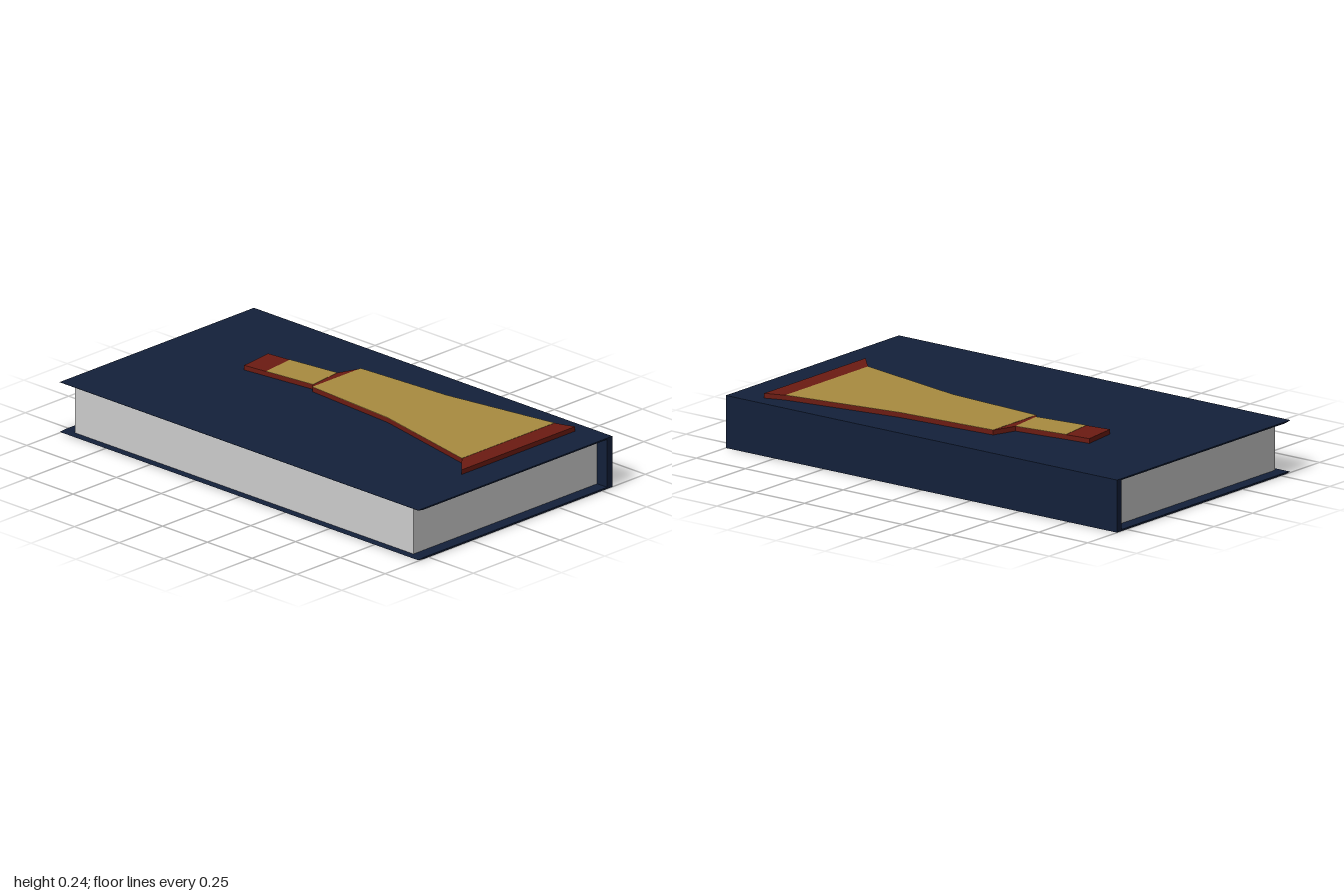
import * as THREE from 'three';

const NAVY = 0x13203a, RED = 0x6c1b12, GOLD = 0xa88b40;

function part(name, geometry, color) {
  const material = new THREE.MeshStandardMaterial({ color, flatShading: true });
  const mesh = new THREE.Mesh(geometry, material);
  mesh.name = name;
  return mesh;
}

function shapeOf(points) {
  return new THREE.Shape(points.map(([a, b]) => new THREE.Vector2(a, b)));
}

// Flat plate from an [x, z] outline, rising from bottom to top
function plate(outline, bottom, top) {
  const shape = shapeOf(outline.map(([x, z]) => [x, -z]));
  return new THREE.ExtrudeGeometry(shape, { depth: top - bottom, bevelEnabled: false })
    .rotateX(-Math.PI / 2)
    .translate(0, bottom, 0);
}

export function createModel() {
  const book = new THREE.Group();
  book.name = 'book';

  // Cover: C-shaped [z, y] profile, spine at the back, thin edges at the front
  const profile = [
    [-0.56, 0], [0.53, 0], [0.56, 0.004], [0.53, 0.007], [-0.53, 0.007],
    [-0.53, 0.213], [0.53, 0.213], [0.56, 0.218], [0.56, 0.219], [-0.56, 0.219],
  ];
  const cover = new THREE.ExtrudeGeometry(shapeOf(profile), { depth: 2, bevelEnabled: false })
    .rotateY(-Math.PI / 2)
    .translate(1, 0, 0);
  book.add(part('cover', cover, NAVY));

  // Page block
  book.add(part('pages', new THREE.BoxGeometry(1.89, 0.207, 1.06).translate(0, 0.11, 0), 0xcccccc));

  // Raised emblem: shared corners of the handle and the flared body
  const handle = [[-0.47, -0.22], [-0.235, -0.25], [-0.215, -0.09], [-0.45, -0.062]];
  const body = [
    [-0.2, -0.35], [0.25, -0.38], [0.77, -0.465],
    [0.77, 0.07], [0.25, -0.04], [-0.2, -0.07],
  ];
  const outline = [
    [-0.58, -0.208], handle[0], handle[1],
    ...body.slice(0, 3), [0.855, -0.495], [0.855, 0.16], ...body.slice(3),
    handle[2], handle[3], [-0.56, -0.049],
  ];
  const emblem = new THREE.Group();
  emblem.name = 'emblem';
  emblem.add(
    part('emblemBase', plate(outline, 0.217, 0.239), RED),
    part('emblemHandle', plate(handle, 0.238, 0.24), GOLD),
    part('emblemBody', plate(body, 0.238, 0.24), GOLD),
  );
  book.add(emblem);

  return book;
}
